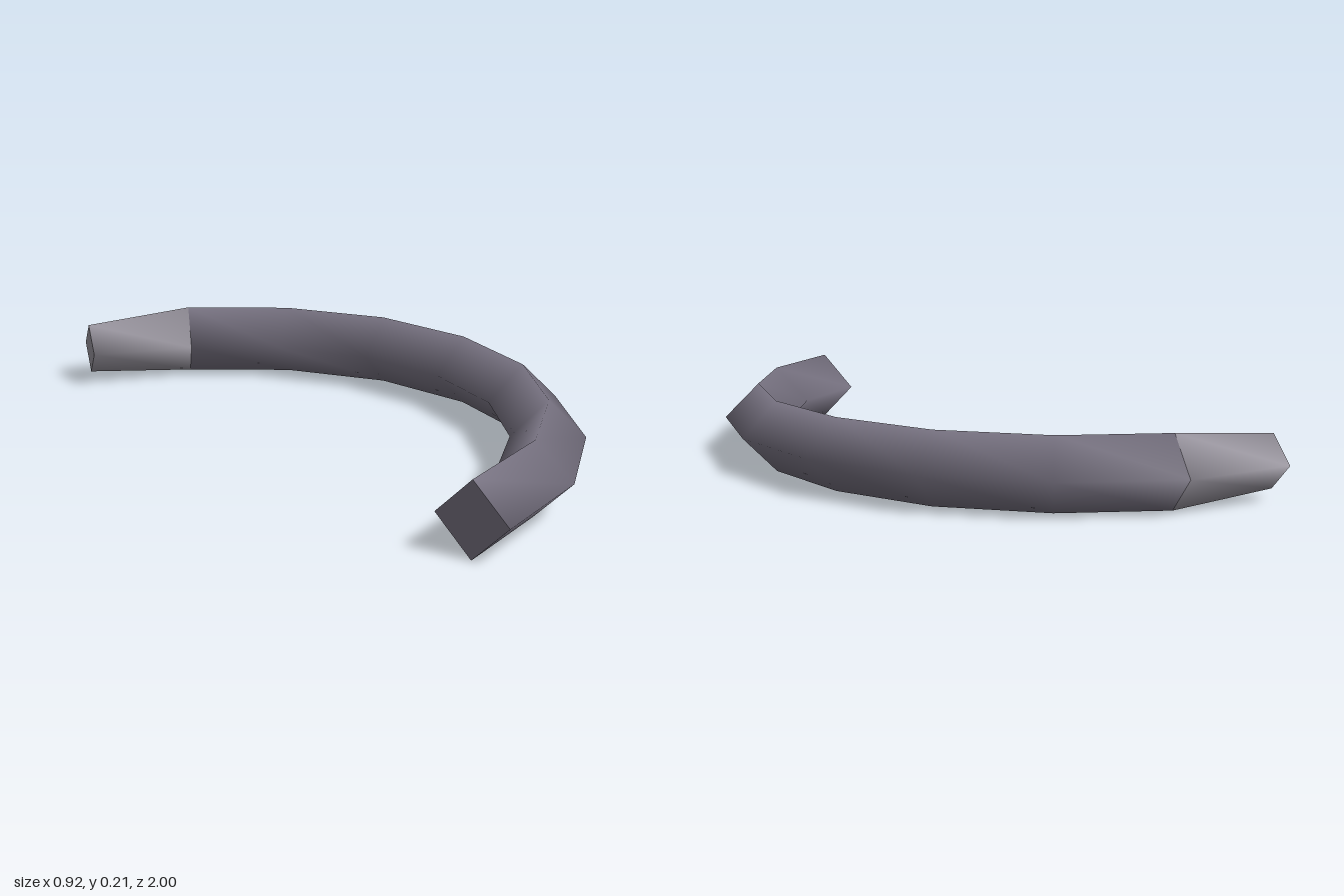
import * as THREE from 'three';

// Cross-sections along the arc: [inner x, inner z, outer x, outer z, half height]
const MID = 0.105;
const rings = [
  [-0.46, 0.80, -0.395, 1.0, 0.105],
  [-0.17, 0.70, -0.067, 0.885, 0.105],
  [0.05, 0.52, 0.208, 0.655, 0.105],
  [0.20, 0.27, 0.397, 0.34, 0.105],
  [0.25, -0.015, 0.458, -0.015, 0.105],
  [0.20, -0.30, 0.397, -0.37, 0.105],
  [0.05, -0.55, 0.208, -0.685, 0.105],
  [-0.17, -0.73, -0.067, -0.915, 0.105],
  [-0.452, -0.855, -0.40, -1.0, 0.077],
];

// Diamond corners: outer, top, inner, bottom
function corners([ix, iz, ox, oz, h]) {
  const cx = (ix + ox) / 2, cz = (iz + oz) / 2;
  return [[ox, MID, oz], [cx, MID + h, cz], [ix, MID, iz], [cx, MID - h, cz]];
}

function build(points, index) {
  const geometry = new THREE.BufferGeometry();
  geometry.setAttribute('position', new THREE.Float32BufferAttribute(points.flat(), 3));
  geometry.setIndex(index);
  geometry.computeVertexNormals();
  return geometry;
}

// Smooth skin joining successive diamonds
function skin(sections) {
  const index = [];
  for (let r = 0; r < sections.length - 1; r++) {
    for (let s = 0; s < 4; s++) {
      const a = r * 4 + s, b = r * 4 + (s + 1) % 4;
      index.push(a, a + 4, b, b, a + 4, b + 4);
    }
  }
  return build(sections.flatMap(corners), index);
}

function cap(section, atStart) {
  return build(corners(section), atStart ? [0, 1, 2, 0, 2, 3] : [0, 2, 1, 0, 3, 2]);
}

export function createModel() {
  const group = new THREE.Group();
  group.name = 'curvedBar';
  const barGrey = new THREE.MeshStandardMaterial({ color: 0x787382 });
  barGrey.name = 'dark mauve grey';
  const tipGrey = new THREE.MeshStandardMaterial({ color: 0x98949e });
  tipGrey.name = 'pale grey';

  const add = (name, geometry, material) => {
    const mesh = new THREE.Mesh(geometry, material);
    mesh.name = name;
    group.add(mesh);
  };

  // Long curved bar with its flat end
  add('bar', skin(rings.slice(0, 8)), barGrey);
  add('barEnd', cap(rings[0], true), barGrey);

  // Tapered pale tip with its flat end
  add('tip', skin(rings.slice(7)), tipGrey);
  add('tipEnd', cap(rings[8], false), tipGrey);
  return group;
}
